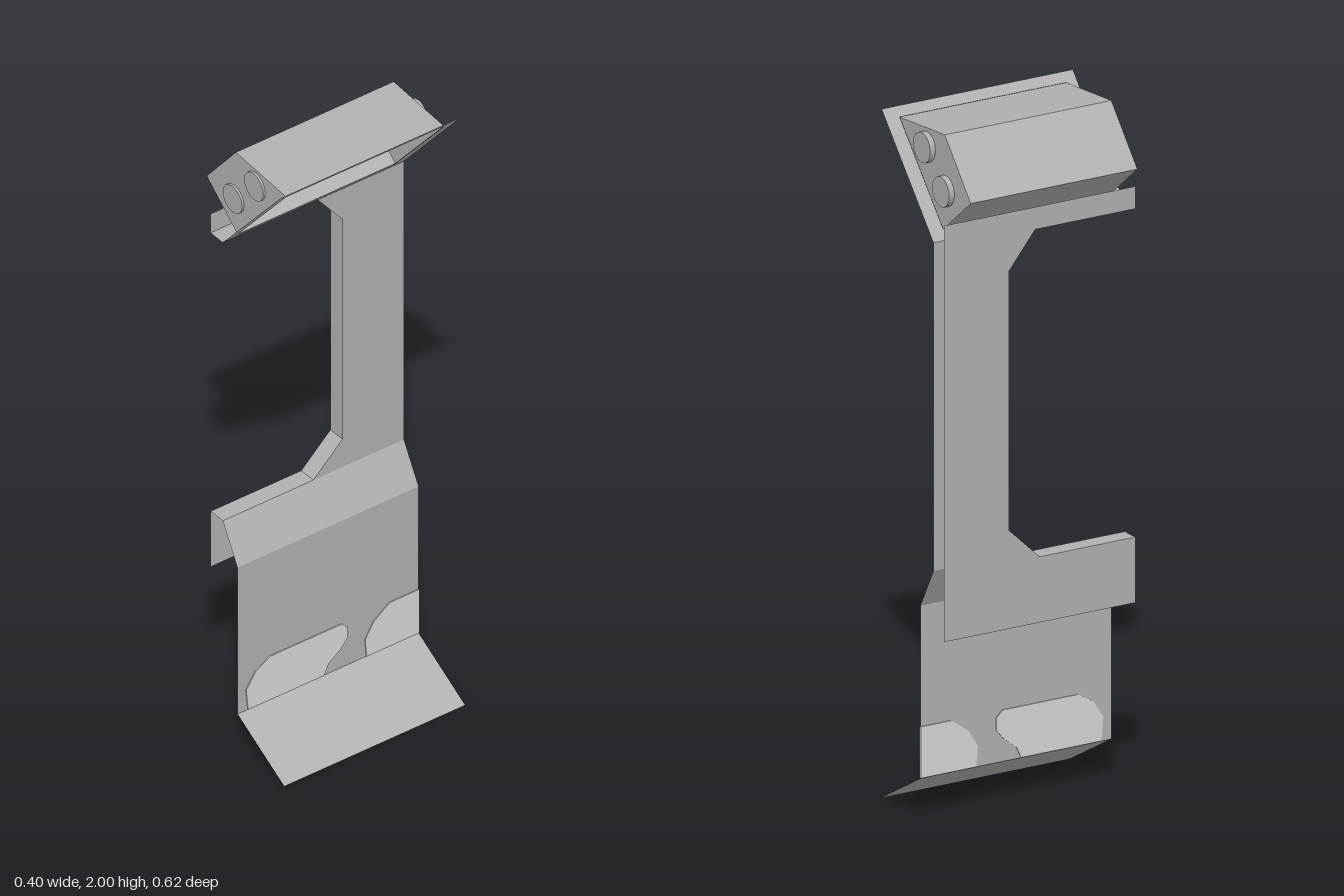
import * as THREE from 'three';

const HALF = 0.31;             // half depth of the bracket
const HEAD_BACK = -0.265, HEAD_FRONT = 0.275;

// Folded sheet: a path of [a, b] corners swept between two stations; place() maps to x, y, z
function foldedSheet(path, s0, s1, place) {
  const pos = [];
  for (let i = 0; i < path.length - 1; i++) {
    const p = path[i], q = path[i + 1];
    const a = place(p, s0), b = place(q, s0), c = place(q, s1), d = place(p, s1);
    pos.push(...a, ...b, ...c, ...a, ...c, ...d);
  }
  const g = new THREE.BufferGeometry();
  g.setAttribute('position', new THREE.Float32BufferAttribute(pos, 3));
  g.computeVertexNormals();
  return g;
}
const alongZ = ([x, y], z) => [x, y, z];
const alongX = ([z, y], x) => [x, y, z];

const shapeOf = (pts) => new THREE.Shape(pts.map(([a, b]) => new THREE.Vector2(a, b)));

// Flat plate in the z-y plane at a given x
function sidePlate(shape, x) {
  return new THREE.ShapeGeometry(shape).rotateY(-Math.PI / 2).translate(x, 0, 0);
}

export function createModel() {
  const group = new THREE.Group();
  const metal = new THREE.MeshStandardMaterial({ color: 0xb0b0b0, side: THREE.DoubleSide });
  metal.name = 'grey metal';
  const pale = new THREE.MeshStandardMaterial({ color: 0xd6d6d6, side: THREE.DoubleSide });
  pale.name = 'pale grey';
  const add = (name, geometry, material = metal) => {
    const mesh = new THREE.Mesh(geometry, material);
    mesh.name = name;
    group.add(mesh);
    return mesh;
  };

  // Post: front and back sheets joined along the cut-out edge
  const cutout = [[HALF, 0.74], [0, 0.74], [-0.1, 0.835], [-0.1, 1.585], [-0.015, 1.69], [HALF, 1.69]];
  add('postFront', sidePlate(shapeOf([[-HALF, 0.74], ...cutout.slice(1, 5), [-HALF, 1.69]]), -0.08));
  add('postBack', sidePlate(shapeOf([
    [-HALF, 0.55], [HALF, 0.55], ...cutout, [HALF, 1.755], [-HALF, 1.755],
  ]), -0.135));
  add('postEdge', foldedSheet(cutout, -0.135, -0.08, alongX));

  // Lower apron: sloping shoulder, upright panel and lip
  add('apron', foldedSheet([[-0.08, 0.74], [-0.013, 0.62], [-0.013, 0.12], [0.2, 0]], -HALF, HALF, alongZ));

  // Pale patches showing on both sides of the panel
  const patches = [
    [[0.275, 0.122], [0.282, 0.19], [0.25, 0.24], [0.2, 0.27], [-0.045, 0.27], [-0.065, 0.25],
      [-0.065, 0.215], [-0.04, 0.185], [0, 0.155], [0.015, 0.122]],
    [[-0.13, 0.122], [-0.125, 0.18], [-0.155, 0.23], [-0.21, 0.27], [-HALF, 0.27], [-HALF, 0.122]],
  ];
  for (const pts of patches) {
    const g = new THREE.ExtrudeGeometry(shapeOf(pts), { depth: 0.006, bevelEnabled: false });
    add('panelPatch', g.rotateY(-Math.PI / 2).translate(-0.01, 0, 0), pale);
  }

  // Tilted flange framing the lamp opening
  const frame = shapeOf([[-HALF, 1.69], [HALF, 1.69], [HALF, 2], [-HALF, 2]]);
  frame.holes.push(shapeOf([
    [HEAD_BACK, 1.715], [HEAD_BACK, 1.975], [HEAD_FRONT, 1.975], [HEAD_FRONT, 1.715],
  ]));
  const flange = sidePlate(frame, 0);
  const p = flange.attributes.position;
  for (let i = 0; i < p.count; i++) p.setX(i, -0.08 + (p.getY(i) - 1.69) * 0.855);
  flange.computeVertexNormals();
  add('lampFlange', flange);

  // Lamp housing, open towards the flange
  const profile = [[-0.059, 1.715], [-0.2, 1.83], [-0.067, 1.99], [0.163, 1.975]];
  add('lampHousing', foldedSheet(profile, HEAD_BACK, HEAD_FRONT, alongZ));
  for (const z of [HEAD_BACK, HEAD_FRONT]) {
    add('lampEnd', new THREE.ShapeGeometry(shapeOf(profile)).translate(0, 0, z));
  }

  // Two lamp tubes poking through the housing ends
  for (const [x, y] of [[-0.073, 1.83], [0.024, 1.93]]) {
    const tube = add('lampTube', new THREE.CylinderGeometry(0.044, 0.044, 0.564, 16).rotateX(Math.PI / 2));
    tube.position.set(x, y, 0);
  }
  return group;
}
